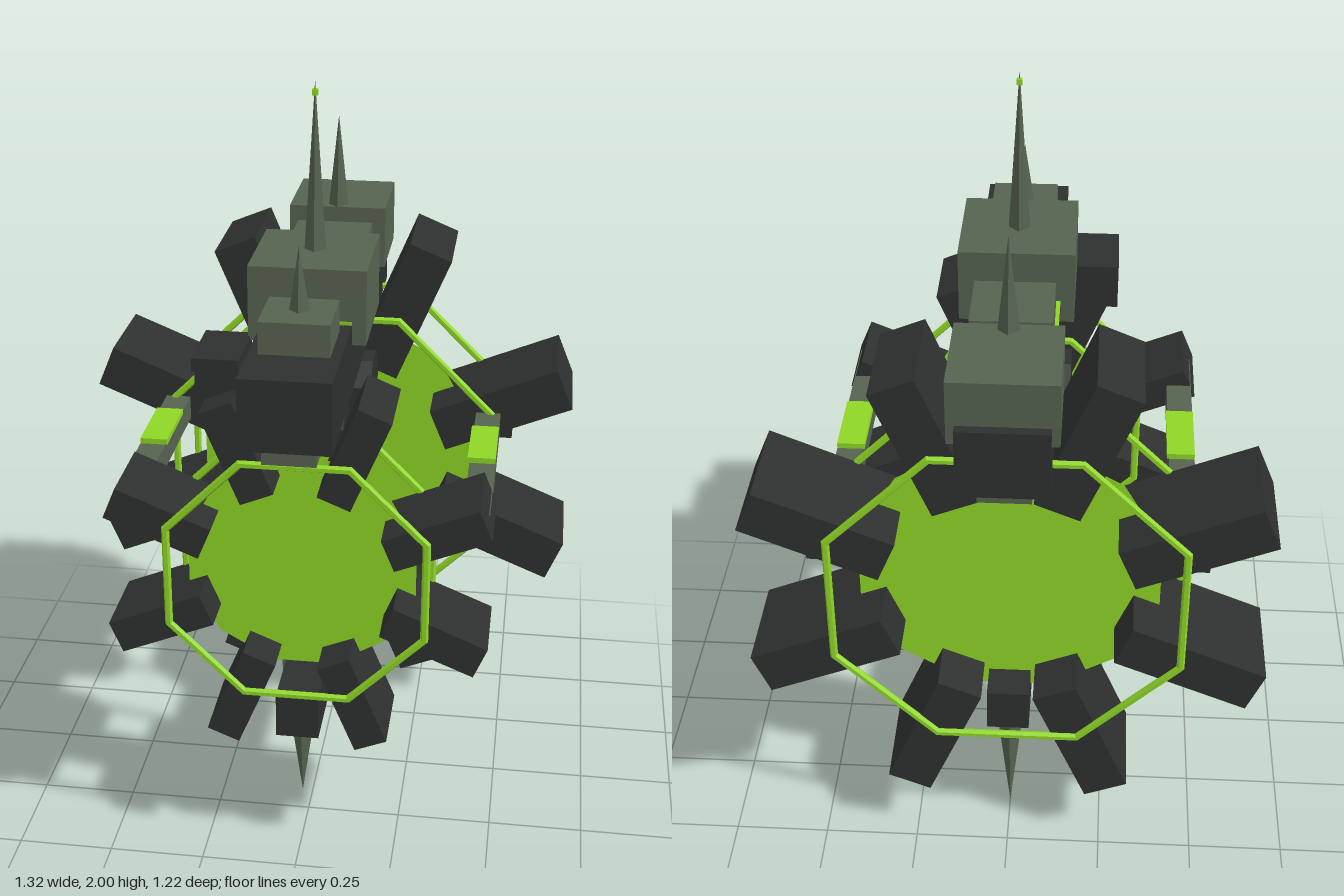
import * as THREE from 'three';

const mat = (color) => new THREE.MeshStandardMaterial({ color, flatShading: true, side: THREE.DoubleSide });

export function createModel() {
  const model = new THREE.Group();
  const dark = mat(0x2e3030), grey = mat(0x566350), lime = mat(0x8fd626);
  const hubY = 0.835;

  const add = (name, geometry, material, x = 0, y = 0, z = 0, parent = model) => {
    const mesh = new THREE.Mesh(geometry, material);
    mesh.name = name;
    mesh.position.set(x, y, z);
    parent.add(mesh);
    return mesh;
  };
  // Box given by its extents on each axis
  const box = (name, material, [x0, x1], [y0, y1], [z0, z1]) =>
    add(name, new THREE.BoxGeometry(x1 - x0, y1 - y0, z1 - z0), material,
      (x0 + x1) / 2, (y0 + y1) / 2, (z0 + z1) / 2);
  // Four-sided spike from a base height to a tip height
  const spike = (name, radius, base, tip, z) => {
    const cone = add(name, new THREE.ConeGeometry(radius, Math.abs(tip - base), 4), grey, 0, (base + tip) / 2, z);
    if (tip < base) cone.rotation.x = Math.PI;
  };

  // Wheel of eight radial blocks, a thin disc and two octagonal hoops
  const wheel = (name, z, s) => {
    const group = new THREE.Group();
    group.name = name;
    group.position.set(0, hubY, z);
    model.add(group);
    for (let i = 0; i < 8; i++) {
      const a = (i + 0.5) * Math.PI / 4, r = s.inner + s.length / 2;
      const block = add('radialBlock', new THREE.BoxGeometry(s.length, s.width, s.depth), dark,
        r * Math.cos(a), r * Math.sin(a), 0, group);
      block.rotation.z = a;
    }
    const disc = add('disc', new THREE.CircleGeometry(s.disc, 12), lime, 0, 0, 0, group);
    disc.rotation.z = Math.PI / 12;
    for (const side of [-1, 1]) {
      const hoop = add('hoop', new THREE.TorusGeometry(s.hoop, 0.011, 6, 8), lime, 0, 0, side * (s.depth / 2 + 0.003), group);
      hoop.rotation.z = Math.PI / 8;
    }
  };
  wheel('frontWheel', 0.355, { inner: 0.245, length: 0.255, width: 0.088, depth: 0.215, disc: 0.3, hoop: 0.348 });
  wheel('backWheel', -0.355, { inner: 0.32, length: 0.37, width: 0.12, depth: 0.27, disc: 0.4, hoop: 0.478 });

  // Upper spine
  box('spine', dark, [-0.11, 0.11], [1.26, 1.44], [-0.61, 0.61]);
  box('spineKeel', grey, [-0.065, 0.065], [1.2, 1.26], [-0.55, 0.55]);
  box('spineStripe', lime, [-0.11, 0.11], [1.44, 1.45], [-0.4, 0.25]);

  // Blocks on the spine
  box('mainBlock', grey, [-0.145, 0.145], [1.39, 1.58], [-0.04, 0.25]);
  box('middleBlock', grey, [-0.1, 0.1], [1.44, 1.53], [-0.28, -0.09]);
  box('backBlock', grey, [-0.13, 0.13], [1.39, 1.555], [-0.585, -0.33]);
  box('frontBlock', grey, [-0.085, 0.085], [1.44, 1.52], [0.29, 0.46]);

  // Spires above and below
  spike('mainSpire', 0.027, 1.58, 2, 0.1);
  spike('backSpire', 0.027, 1.55, 1.8, -0.355);
  spike('frontSpire', 0.024, 1.52, 1.68, 0.37);
  spike('frontLowerSpire', 0.033, 0.38, 0.14, 0.355);
  spike('backLowerSpire', 0.04, 0.38, 0, -0.355);
  add('spireLight', new THREE.BoxGeometry(0.014, 0.014, 0.014), lime, 0, 1.97, 0.1);

  // Drums slung under the spine
  for (const [z, r, w] of [[0, 0.1, 0.28], [0.265, 0.07, 0.2]]) {
    const drum = new THREE.CylinderGeometry(r, r, w, 8);
    drum.rotateY(Math.PI / 8).rotateZ(Math.PI / 2);
    add('drum', drum, dark, 0, 1.17, z);
  }

  // Pod on the right shoulder
  box('pod', dark, [-0.255, -0.14], [1.28, 1.4], [0.225, 0.375]);
  box('podVisor', dark, [-0.255, -0.14], [1.365, 1.4], [0.375, 0.41]);

  // Lower beam
  box('lowerBeam', dark, [-0.055, 0.055], [0.375, 0.495], [-0.45, 0.45]);
  box('lowerBlock', grey, [-0.09, 0.09], [0.345, 0.495], [-0.15, 0.12]);

  // Side rails joining the wheels
  for (const s of [-1, 1]) {
    const span = (a, b) => (s > 0 ? [a, b] : [-b, -a]);
    box('sideRail', grey, span(0.4, 0.467), [0.955, 1.02], [-0.385, 0.385]);
    box('railPlate', lime, span(0.395, 0.467), [1.02, 1.035], [-0.1, 0.1]);
    box('railClamp', dark, span(0.42, 0.5), [0.93, 0.972], [-0.45, -0.26]);
  }
  return model;
}
